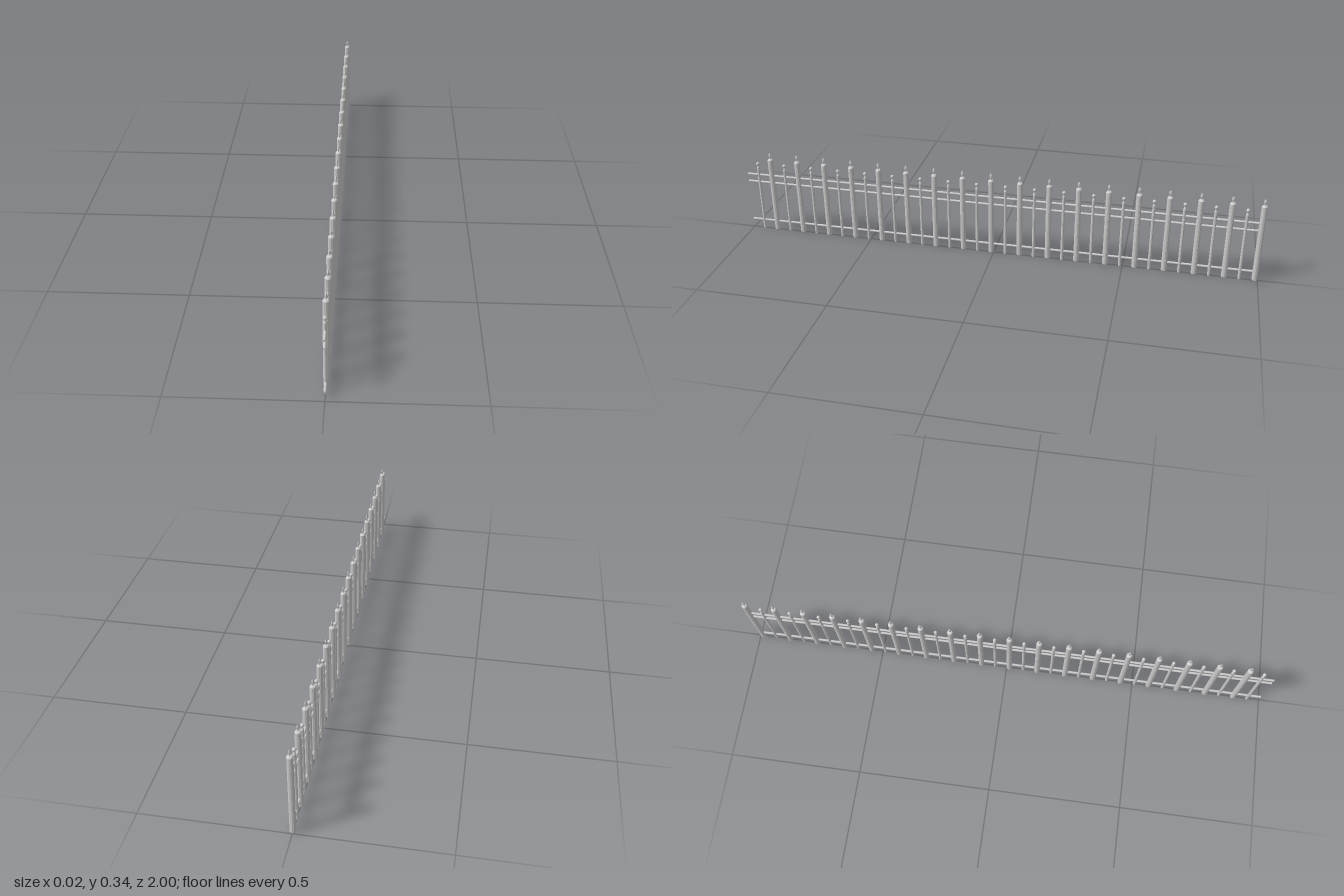
import * as THREE from 'three';

export function createModel() {
  const fence = new THREE.Group();
  fence.name = 'fence';
  const material = new THREE.MeshStandardMaterial({ color: 0xcccccc });
  const flat = new THREE.MeshStandardMaterial({ color: 0xcccccc, flatShading: true });

  const lathe = (points, sides) =>
    new THREE.LatheGeometry(points.map(([r, y]) => new THREE.Vector2(r, y)), sides);

  const add = (parent, geometry, mat, name) => {
    const mesh = new THREE.Mesh(geometry, mat);
    mesh.name = name;
    parent.add(mesh);
    return mesh;
  };

  // Thick post with chamfered ends
  const postGeometry = lathe([
    [0, 0], [0.009, 0], [0.011, 0.003], [0.011, 0.306], [0.008, 0.31], [0, 0.312],
  ], 12);

  // Spear finial, broad along the fence and thin across it
  const spearGeometry = lathe([
    [0.003, 0.31], [0.003, 0.314], [0.0045, 0.316], [0.003, 0.318],
    [0.0065, 0.324], [0.005, 0.33], [0, 0.338],
  ], 10);
  spearGeometry.scale(0.6, 1, 1);
  spearGeometry.computeVertexNormals();

  // Thin picket tapering to a neck below its ball
  const picketGeometry = lathe([
    [0, 0], [0.006, 0], [0.006, 0.268], [0.003, 0.275], [0.003, 0.281],
  ], 10);
  const ballGeometry = new THREE.SphereGeometry(0.007, 12, 8);

  // Alternating posts and pickets
  const count = 18, spacing = 0.111, start = -0.989;
  for (let i = 0; i < count; i++) {
    const post = new THREE.Group();
    post.name = 'post';
    post.position.z = start + i * spacing;
    add(post, postGeometry, flat, 'postShaft');
    add(post, spearGeometry, material, 'spearFinial');
    fence.add(post);

    const picket = new THREE.Group();
    picket.name = 'picket';
    picket.position.z = start + (i + 0.5) * spacing;
    add(picket, picketGeometry, flat, 'picketShaft');
    add(picket, ballGeometry, material, 'ballFinial').position.y = 0.285;
    fence.add(picket);
  }

  // Three round rails running the whole length
  const railGeometry = new THREE.CylinderGeometry(0.0045, 0.0045, 1.99, 10);
  railGeometry.rotateX(Math.PI / 2);
  for (const [y, name] of [[0.037, 'lowerRail'], [0.207, 'middleRail'], [0.238, 'upperRail']]) {
    add(fence, railGeometry, material, name).position.set(0, y, 0.005);
  }

  return fence;
}
